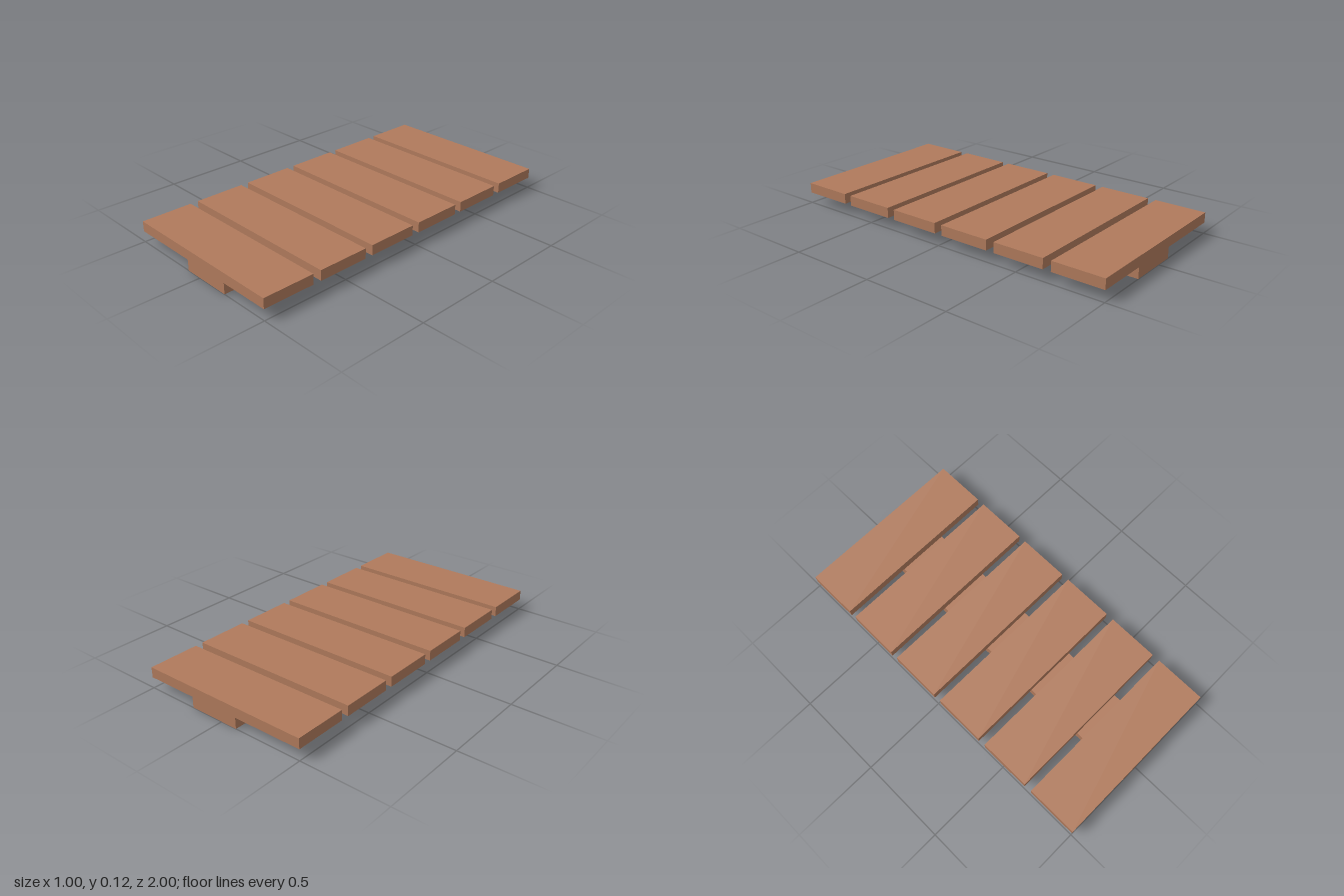
import * as THREE from 'three';

export function createModel() {
  const group = new THREE.Group();
  const wood = new THREE.MeshStandardMaterial({ color: 0xb07a5c });
  wood.name = 'brown wood';

  const beamTop = 0.062, top = 0.12, plankDepth = 0.295, count = 6;

  function addBox(name, x0, x1, y0, y1, z0, z1) {
    const mesh = new THREE.Mesh(new THREE.BoxGeometry(x1 - x0, y1 - y0, z1 - z0), wood);
    mesh.position.set((x0 + x1) / 2, (y0 + y1) / 2, (z0 + z1) / 2);
    mesh.name = name;
    group.add(mesh);
  }

  // Off-centre beam running the full length underneath
  addBox('supportBeam', -0.097, 0.2, 0, beamTop, -1, 1);

  // Evenly spaced planks laid across the beam
  const pitch = (2 - plankDepth) / (count - 1);
  for (let i = 0; i < count; i++) {
    const z = -1 + i * pitch;
    addBox(`plank${i + 1}`, -0.5, 0.5, beamTop, top, z, z + plankDepth);
  }
  return group;
}
